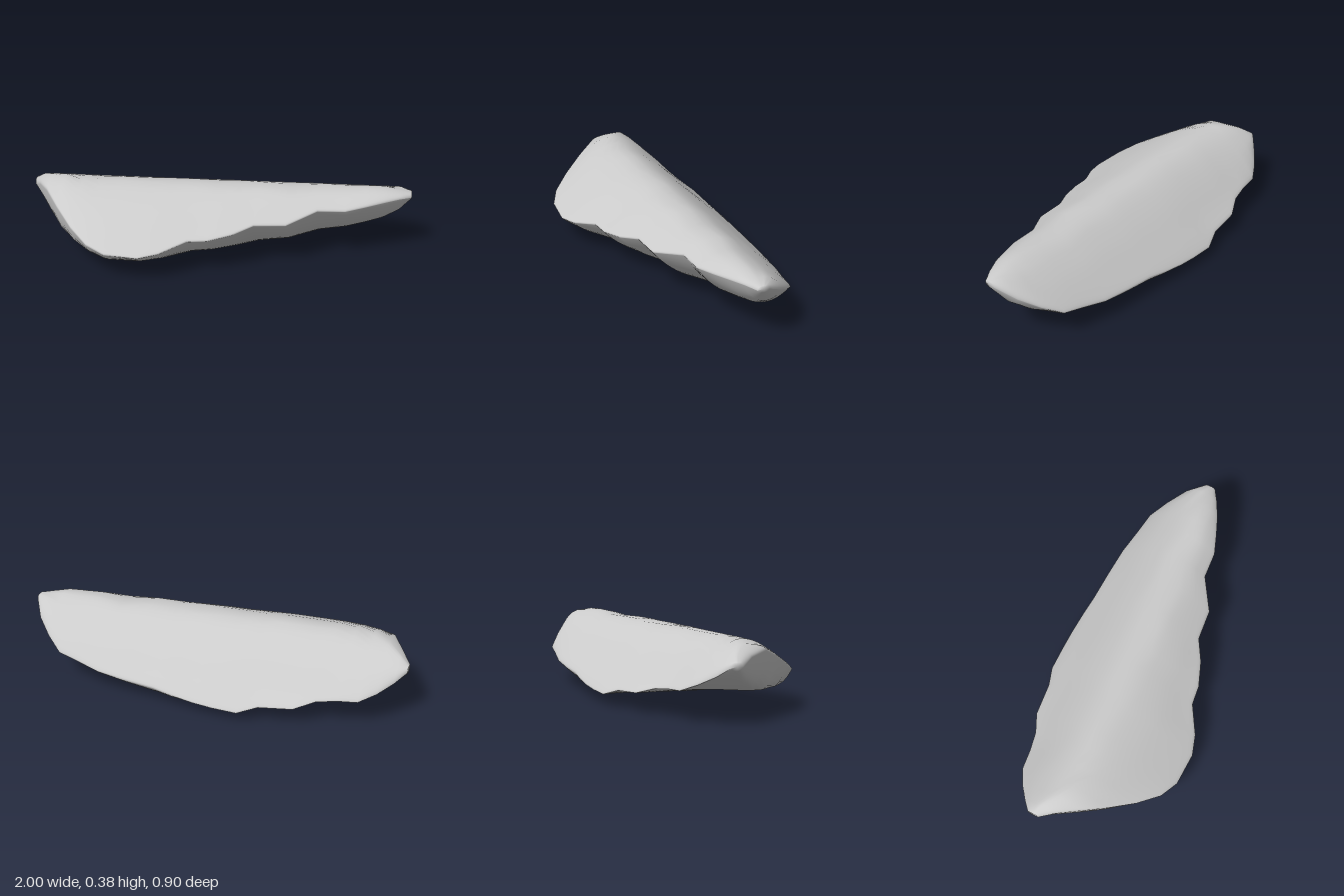
import * as THREE from 'three';

// Height of the upper face by distance from the crest line: [distance, y]
const CREST = [[-0.44, 0.085], [-0.425, 0.1], [-0.39, 0.135], [-0.32, 0.185], [-0.205, 0.275], [-0.105, 0.345],
  [-0.035, 0.375], [0, 0.38], [0.05, 0.373], [0.09, 0.36], [0.19, 0.318], [0.29, 0.27], [0.39, 0.223], [0.46, 0.185]];

// Cross-sections along the length: [x, back z, front z, top limit y, keel z, keel y]
const SECTIONS = [
  [-1, -0.13, -0.07, 0.3, -0.1, 0.26], [-0.95, -0.18, 0, 0.335, -0.05, 0.215],
  [-0.88, -0.24, 0.11, 0.365, 0.03, 0.17], [-0.8, -0.29, 0.21, 0.38, 0.13, 0.13],
  [-0.7, -0.305, 0.32, 0.38, 0.24, 0.12], [-0.6, -0.33, 0.405, 0.38, 0.31, 0.108],
  [-0.5, -0.385, 0.445, 0.38, 0.33, 0.088], [-0.33, -0.41, 0.445, 0.378, 0.24, 0.068],
  [-0.23, -0.45, 0.41, 0.376, 0.1, 0.043], [-0.1, -0.455, 0.325, 0.374, -0.02, 0.028],
  [0, -0.455, 0.31, 0.372, -0.13, 0.012], [0.12, -0.449, 0.26, 0.372, -0.25, 0],
  [0.22, -0.44, 0.195, 0.374, -0.27, 0.007], [0.38, -0.437, 0.175, 0.37, -0.28, 0.035],
  [0.53, -0.43, 0.07, 0.368, -0.29, 0.066], [0.67, -0.405, 0.055, 0.374, -0.28, 0.1],
  [0.77, -0.39, 0.015, 0.38, -0.27, 0.13], [0.86, -0.33, -0.025, 0.376, -0.23, 0.17],
  [0.94, -0.26, -0.07, 0.36, -0.19, 0.23], [1, -0.17, -0.11, 0.35, -0.14, 0.315]];

const RING = 48;

// Upper face height; the crest line runs slightly backwards towards +x
function crest(x, z) {
  const d = z + 0.035 + 0.075 * x;
  for (let i = 1; i < CREST.length; i++) {
    const [d0, y0] = CREST[i - 1], [d1, y1] = CREST[i];
    if (d <= d1) return THREE.MathUtils.lerp(y0, y1, (d - d0) / (d1 - d0));
  }
  return CREST[CREST.length - 1][1];
}

// One closed ring: front edge, over the top, back edge, under the keel
function ringPoints([x, zb, zf, top, zk, yk]) {
  const rim = z => Math.max(Math.min(crest(x, z) - 0.035, top - 0.025), yk + 0.015);
  const points = [];
  for (let j = 0; j < RING; j++) {
    const a = (j / RING) * Math.PI * 2;
    const t = (1 - Math.cos(a)) / 2;
    const z = THREE.MathUtils.lerp(zf, zb, t);
    const edge = THREE.MathUtils.lerp(rim(zf), rim(zb), t);
    let y;
    if (j <= RING / 2) {
      const w = Math.sqrt(Math.max(0, 1 - Math.abs(2 * t - 1) ** 4));
      y = edge + (Math.min(crest(x, z), top) - edge) * w;
    } else {
      const front = z > zk;
      const u = (z - zk) / ((front ? zf : zb) - zk);
      y = edge - (edge - yk) * Math.max(0, 1 - u * u) ** (front ? 0.95 : 0.75);
    }
    points.push([x, y, z]);
  }
  return points;
}

function shellGeometry() {
  const rings = SECTIONS.map(ringPoints);
  const positions = rings.flat(2);
  const index = [];
  const last = rings.length - 1;
  for (let i = 0; i < last; i++) {
    for (let j = 0; j < RING; j++) {
      const k = (j + 1) % RING;
      const a = i * RING + j, b = a + RING, c = i * RING + k, d = c + RING;
      index.push(a, b, c, b, d, c);
    }
  }
  // Close both tips with fans
  for (const i of [0, last]) {
    const centre = positions.length / 3;
    for (let n = 0; n < 3; n++) positions.push(rings[i].reduce((s, p) => s + p[n], 0) / RING);
    for (let j = 0; j < RING; j++) {
      const a = i * RING + j, b = i * RING + (j + 1) % RING;
      index.push(centre, i ? b : a, i ? a : b);
    }
  }
  const geometry = new THREE.BufferGeometry();
  geometry.setAttribute('position', new THREE.Float32BufferAttribute(positions, 3));
  geometry.setIndex(index);
  geometry.computeVertexNormals();
  return geometry;
}

export function createModel() {
  const group = new THREE.Group();
  group.name = 'rock';
  const body = new THREE.Mesh(shellGeometry(), new THREE.MeshStandardMaterial({ color: 0xcccccc }));
  body.name = 'rockBody';
  group.add(body);
  return group;
}
